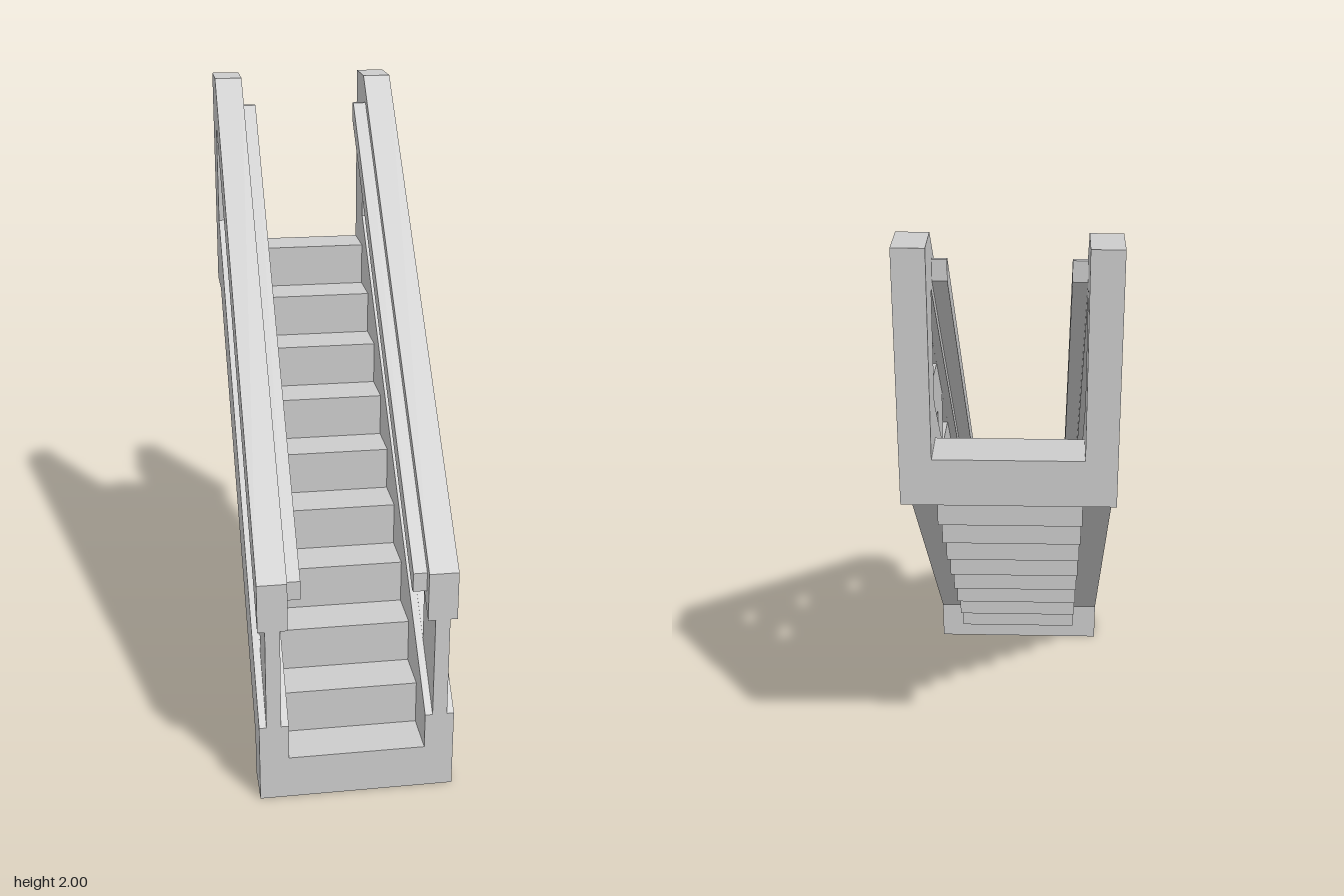
import * as THREE from 'three';

const material = new THREE.MeshStandardMaterial({ color: 0xcccccc, flatShading: true });
const STEPS = 10, RUN = 0.14, RISE = 0.1403;
const toPoints = (list) => list.map(([z, y]) => new THREE.Vector2(z, y));

// Extrudes a (z, y) side profile across x, from xMin to xMax
function sidePlate(name, outline, holes, xMin, xMax) {
  const shape = new THREE.Shape(toPoints(outline));
  holes.forEach((h) => shape.holes.push(new THREE.Path(toPoints(h))));
  const geometry = new THREE.ExtrudeGeometry(shape, { depth: xMax - xMin, bevelEnabled: false });
  geometry.rotateY(-Math.PI / 2);
  geometry.translate(xMax, 0, 0);
  const mesh = new THREE.Mesh(geometry, material);
  mesh.name = name;
  return mesh;
}

// Stringer, end post and sloping top rail in one C-shaped frame
const frame = [
  [0.7, 0], [0.7, 0.255], [-0.56, 1.51], [-0.56, 1.845], [0.7, 0.585], [0.7, 0.74],
  [-0.56, 2], [-0.7, 2], [-0.7, 1.263], [-0.56, 1.263], [0.56, 0.1403], [0.56, 0],
];

// Thin infill, its edges tucked slightly into the frame
const panel = [[0.7, 0.255], [0.7, 0.585], [-0.56, 1.845], [-0.56, 1.51]];

// Pairs of triangular openings, repeated up the slope
const openings = [];
for (let i = 0; i < 3; i++) {
  const d = 0.36 * i;
  openings.push(
    [[0.53, 0.426 + d], [0.53, 0.6 + d], [0.335, 0.62 + d]],
    [[0.53, 0.756 + d], [0.335, 0.772 + d], [0.335, 0.949 + d]],
  ).valueOf();
}
openings.forEach((tri) => tri.forEach((p, k) => { tri[k] = [p[0], p[1]]; }));
// shift each pair back as it climbs
openings.forEach((tri, n) => tri.forEach((p) => { p[0] -= 0.36 * Math.floor(n / 2); }));

// Handrail bar with ends squared off
const bar = [
  [0.67, 0.67], [0.67, 0.73], [-0.515, 1.915], [-0.53, 1.915], [-0.53, 1.855], [0.655, 0.67],
];

export function createModel() {
  const model = new THREE.Group();
  model.name = 'staircase';

  // Solid block steps, each meeting the next along an edge
  const steps = new THREE.Group();
  steps.name = 'steps';
  for (let i = 0; i < STEPS; i++) {
    const step = new THREE.Mesh(new THREE.BoxGeometry(0.42, RISE, RUN), material);
    step.name = 'step';
    step.position.set(0, RISE * (i + 0.5), 0.7 - RUN * (i + 0.5));
    steps.add(step);
  }
  model.add(steps);

  // Balustrades, mirrored left and right
  for (const [side, s] of [['left', 1], ['right', -1]]) {
    const group = new THREE.Group();
    group.name = side + 'Balustrade';
    const plate = (name, outline, holes, inner, outer) =>
      group.add(sidePlate(name, outline, holes, Math.min(s * inner, s * outer), Math.max(s * inner, s * outer)));
    plate('frame', frame, [], 0.21, 0.3);
    plate('zigzagPanel', panel, openings, 0.233, 0.278);
    plate('handrail', bar, [], 0.168, 0.21);
    model.add(group);
  }
  return model;
}
